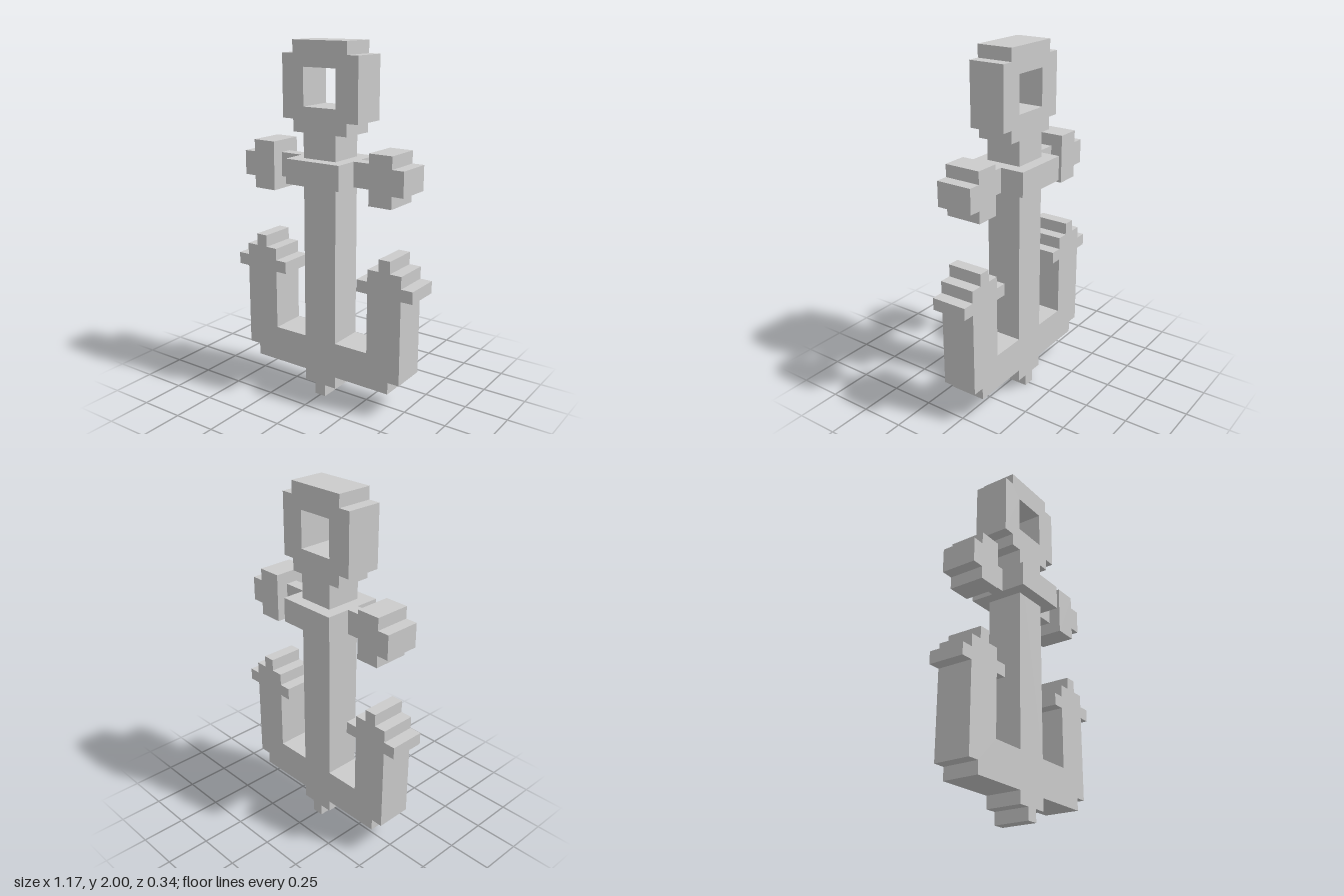
import * as THREE from 'three';

const U = 2 / 29; // one block unit
const material = new THREE.MeshStandardMaterial({ color: 0xcccccc, flatShading: true });

function addMesh(parent, name, geometry) {
  const mesh = new THREE.Mesh(geometry, material);
  mesh.name = name;
  parent.add(mesh);
  return mesh;
}

// Extrude a stepped outline (in block units), centred on z = 0
function slab(points, depth, hole) {
  const toVectors = (list) => list.map(([x, y]) => new THREE.Vector2(x * U, y * U));
  const shape = new THREE.Shape(toVectors(points));
  if (hole) shape.holes.push(new THREE.Path(toVectors(hole)));
  const geometry = new THREE.ExtrudeGeometry(shape, { depth: depth * U, bevelEnabled: false });
  return geometry.translate(0, 0, -depth * U / 2);
}

// Complete a right-hand outline with its mirror image
function mirrored(half) {
  return [...half, ...half.map(([x, y]) => [-x, y]).reverse()];
}

function box(x0, x1, y0, y1, depth) {
  return new THREE.BoxGeometry((x1 - x0) * U, (y1 - y0) * U, depth * U)
    .translate((x0 + x1) * U / 2, (y0 + y1) * U / 2, 0);
}

export function createModel() {
  const anchor = new THREE.Group();
  anchor.name = 'anchor';

  // Shank, pointed crown and the two barbed arms
  addMesh(anchor, 'shankAndArms', slab(mirrored([
    [0.5, 0], [0.5, 1], [1.5, 1], [1.5, 2], [6.5, 2], [6.5, 3], [7.5, 3],
    [7.5, 10], [8.5, 10], [8.5, 11], [7.5, 11], [7.5, 12], [6.5, 12], [6.5, 13],
    [5.5, 13], [5.5, 12], [4.5, 12], [4.5, 11], [3.5, 11], [3.5, 10], [4.5, 10],
    [4.5, 5], [1.5, 5], [1.5, 22],
  ]), 3));

  // Ring with a square eye
  addMesh(anchor, 'ring', slab(
    mirrored([[2.5, 22], [2.5, 23], [3.5, 23], [3.5, 28], [2.5, 28], [2.5, 29]]), 3,
    [[-1.5, 24], [-1.5, 27], [1.5, 27], [1.5, 24]],
  ));

  // Collar around the shank
  addMesh(anchor, 'collar', box(-2.5, 2.5, 18, 20, 5));

  // Stock: thin bar and stepped knob on each side
  for (const [side, s] of [['left', 1], ['right', -1]]) {
    const stock = new THREE.Group();
    stock.name = side + 'Stock';
    addMesh(stock, side + 'Bar', box(2.5, 4.5, 18, 20, 1));
    addMesh(stock, side + 'Knob', slab([
      [4.5, 17], [6.5, 17], [6.5, 18], [7.5, 18], [7.5, 20], [6.5, 20], [6.5, 21], [4.5, 21],
    ], 3));
    if (s < 0) stock.children.forEach((mesh) => { mesh.rotation.y = Math.PI; });
    anchor.add(stock);
  }
  return anchor;
}
